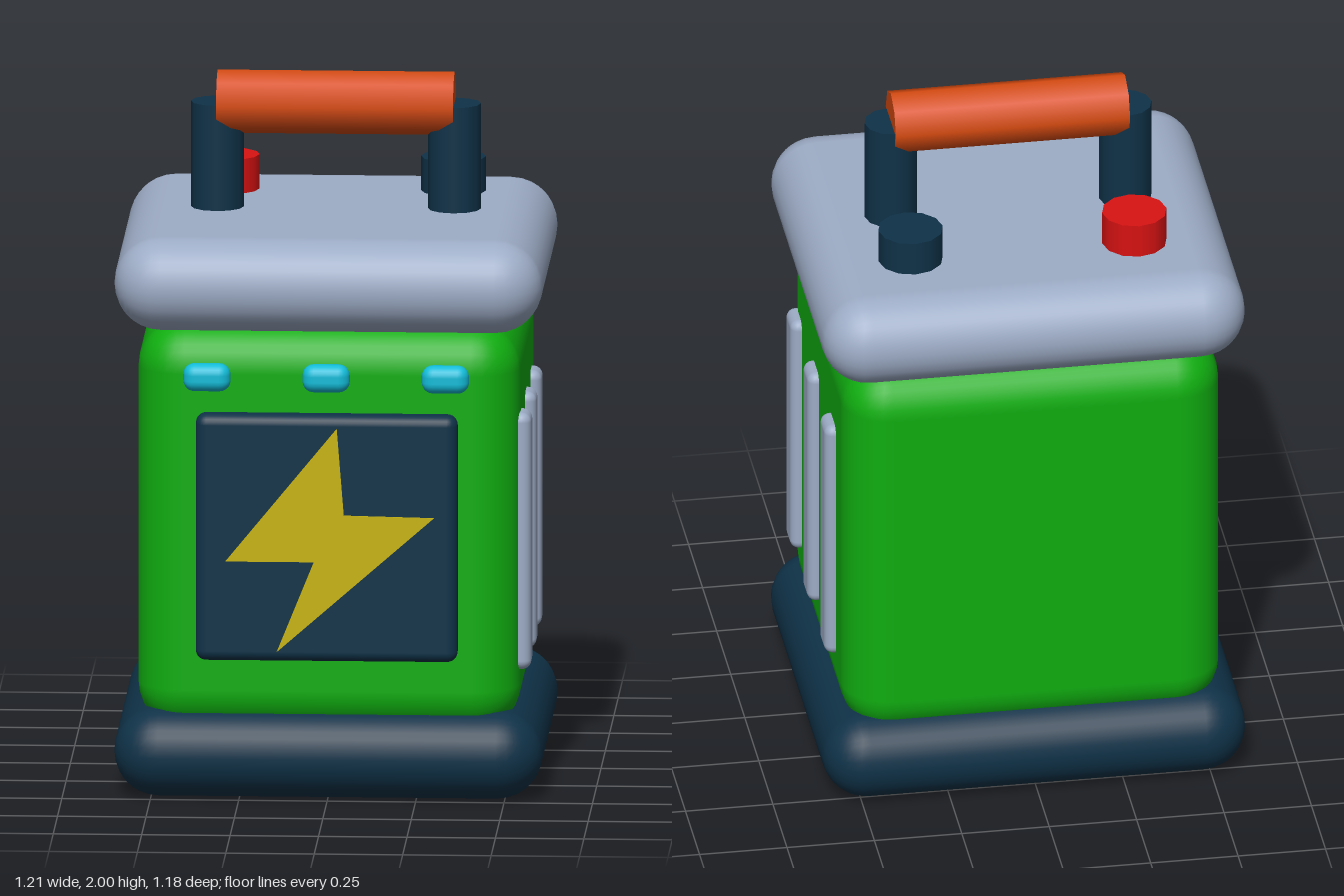
import * as THREE from 'three';
import { RoundedBoxGeometry } from 'three/addons/geometries/RoundedBoxGeometry.js';

const material = (name, color) => {
  const m = new THREE.MeshStandardMaterial({ color });
  m.name = name;
  return m;
};

export function createModel() {
  const green = material('green', 0x10ae10);
  const navy = material('navy', 0x0f3248);
  const grey = material('grey', 0x9dacc6);
  const orange = material('orange', 0xd64a10);
  const red = material('red', 0xd81212);
  const cyan = material('cyan', 0x12bcd8);
  const yellow = material('yellow', 0xc8b410);

  const model = new THREE.Group();
  model.name = 'powerPack';

  const add = (name, geometry, mat, x, y, z) => {
    const mesh = new THREE.Mesh(geometry, mat);
    mesh.name = name;
    mesh.position.set(x, y, z);
    model.add(mesh);
    return mesh;
  };

  // Rounded box given by its lower and upper corners
  const box = (name, mat, [x0, y0, z0], [x1, y1, z1], radius, segments = 3) =>
    add(name, new RoundedBoxGeometry(x1 - x0, y1 - y0, z1 - z0, segments, radius), mat,
      (x0 + x1) / 2, (y0 + y1) / 2, (z0 + z1) / 2);

  // Casing
  box('base', navy, [-0.605, 0, -0.59], [0.605, 0.255, 0.555], 0.127, 4);
  box('body', green, [-0.54, 0.18, -0.525], [0.54, 1.36, 0.495], 0.135, 4);
  box('lid', grey, [-0.605, 1.34, -0.59], [0.605, 1.607, 0.555], 0.133, 4);

  // Front panel with a thin bolt symbol
  box('frontPanel', navy, [-0.37, 0.41, 0.48], [0.37, 1.12, 0.557], 0.03);
  const bolt = new THREE.Shape([
    [0.03, 1.085], [-0.285, 0.7], [-0.035, 0.7], [-0.14, 0.44], [0.305, 0.83], [0.05, 0.835],
  ].map(([x, y]) => new THREE.Vector2(x, y)));
  add('boltSymbol', new THREE.ExtrudeGeometry(bolt, { depth: 0.006, bevelEnabled: false }),
    yellow, 0, 0, 0.555);

  // Indicator lights above the panel
  for (const x of [-0.337, 0, 0.337]) {
    box('indicatorLight', cyan, [x - 0.067, 1.19, 0.523], [x + 0.067, 1.27, 0.59], 0.032);
  }

  // Ribs on the left flank
  for (const z of [0.343, 0.04, -0.262]) {
    box('sideRib', grey, [0.513, 0.36, z - 0.055], [0.571, 1.1, z + 0.055], 0.027);
  }

  // Carrying handle
  for (const side of [-1, 1]) {
    add('handlePost', new THREE.CylinderGeometry(0.075, 0.075, 0.33, 12), navy,
      side * 0.335, 1.745, -0.017);
  }
  const grip = add('handleGrip', new THREE.CylinderGeometry(0.091, 0.091, 0.67, 8), orange,
    0, 1.909, -0.017);
  grip.rotation.z = Math.PI / 2;

  // Terminals behind the handle
  for (const [name, mat, x] of [['redTerminal', red, -0.32], ['darkTerminal', navy, 0.32]]) {
    add(name, new THREE.CylinderGeometry(0.092, 0.092, 0.125, 12), mat, x, 1.643, -0.273);
  }

  return model;
}
